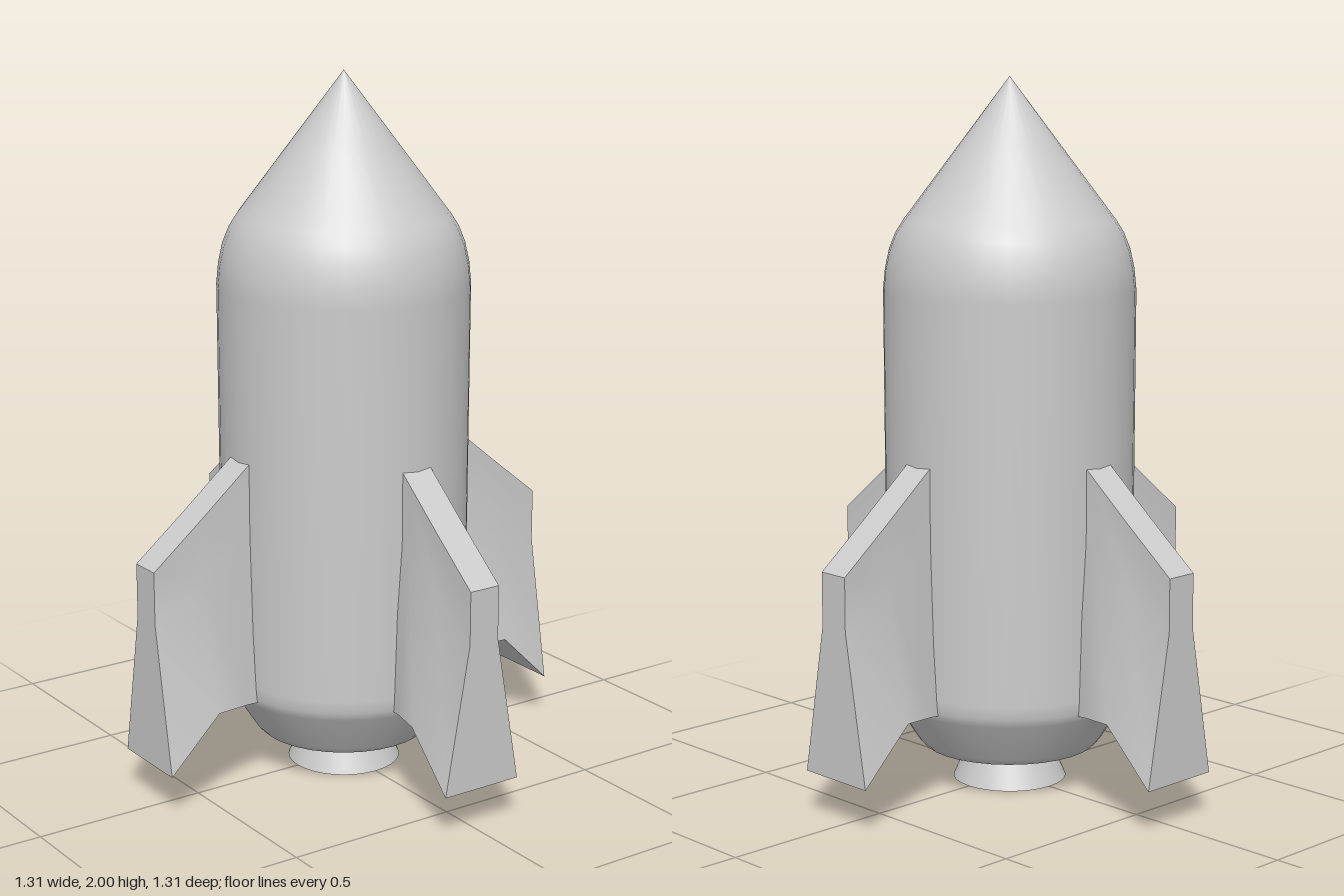
import * as THREE from 'three';
import { toCreasedNormals } from 'three/addons/utils/BufferGeometryUtils.js';

const material = new THREE.MeshStandardMaterial({ color: 0xcccccc });
const SEGMENTS = 32;

function lathe(name, points, crease) {
  const profile = points.map(([r, y]) => new THREE.Vector2(r, y));
  const geometry = new THREE.LatheGeometry(profile, SEGMENTS);
  const mesh = new THREE.Mesh(crease ? toCreasedNormals(geometry, crease) : geometry, material);
  mesh.name = name;
  return mesh;
}

// Fin pointing along +x: thin upper blade that flares out towards a swept lower edge
function finGeometry() {
  const thin = 0.047;
  const stations = [
    { x: 0.32, top: 0.975, kink: 0.76, bottom: 0.256, flare: 0.062 },
    { x: 0.38, top: 0.925, kink: 0.73, bottom: 0.265, flare: 0.078 },
    { x: 0.5, top: 0.825, kink: 0.655, bottom: 0.282, flare: 0.122 },
    { x: 0.655, top: 0.7, kink: 0.55, bottom: 0.13, flare: 0.122 },
  ];
  const positions = [];
  for (const { x, top, kink, bottom, flare } of stations) {
    positions.push(
      x, top, thin, x, kink, thin, x, bottom, flare,
      x, bottom, -flare, x, kink, -thin, x, top, -thin,
    );
  }
  const index = [];
  const quad = (a, b, c, d) => index.push(a, b, c, a, c, d);
  for (let i = 0; i < stations.length - 1; i++) {
    for (let j = 0; j < 6; j++) {
      const k = (j + 1) % 6;
      quad(i * 6 + j, i * 6 + k, i * 6 + 6 + k, i * 6 + 6 + j);
    }
  }
  // Outer tip face and the root face inside the hull
  const t = (stations.length - 1) * 6;
  quad(t, t + 1, t + 4, t + 5);
  quad(t + 1, t + 2, t + 3, t + 4);
  quad(5, 4, 1, 0);
  quad(4, 3, 2, 1);

  const geometry = new THREE.BufferGeometry();
  geometry.setAttribute('position', new THREE.Float32BufferAttribute(positions, 3));
  geometry.setIndex(index);
  return toCreasedNormals(geometry, 0.6);
}

export function createModel() {
  const rocket = new THREE.Group();
  rocket.name = 'rocket';

  // Hull with chamfered base, rounded shoulder and pointed nose
  rocket.add(lathe('hull', [
    [0, 0.1], [0.225, 0.1], [0.247, 0.106], [0.265, 0.125],
    [0.338, 0.24], [0.349, 0.265], [0.351, 0.3], [0.354, 1.41],
    [0.348, 1.47], [0.336, 1.525], [0.318, 1.57], [0.296, 1.605],
    [0.15, 1.8], [0, 2],
  ]));

  // Flared exhaust nozzle with a hollow mouth
  rocket.add(lathe('nozzle', [
    [0, 0.07], [0.095, 0.07], [0.135, 0], [0.162, 0], [0.117, 0.105],
  ], 0.5));

  // Four fins around the hull
  const fin = finGeometry();
  for (let i = 0; i < 4; i++) {
    const mesh = new THREE.Mesh(fin, material);
    mesh.name = `fin${i + 1}`;
    mesh.rotation.y = (i * Math.PI) / 2;
    rocket.add(mesh);
  }
  return rocket;
}
